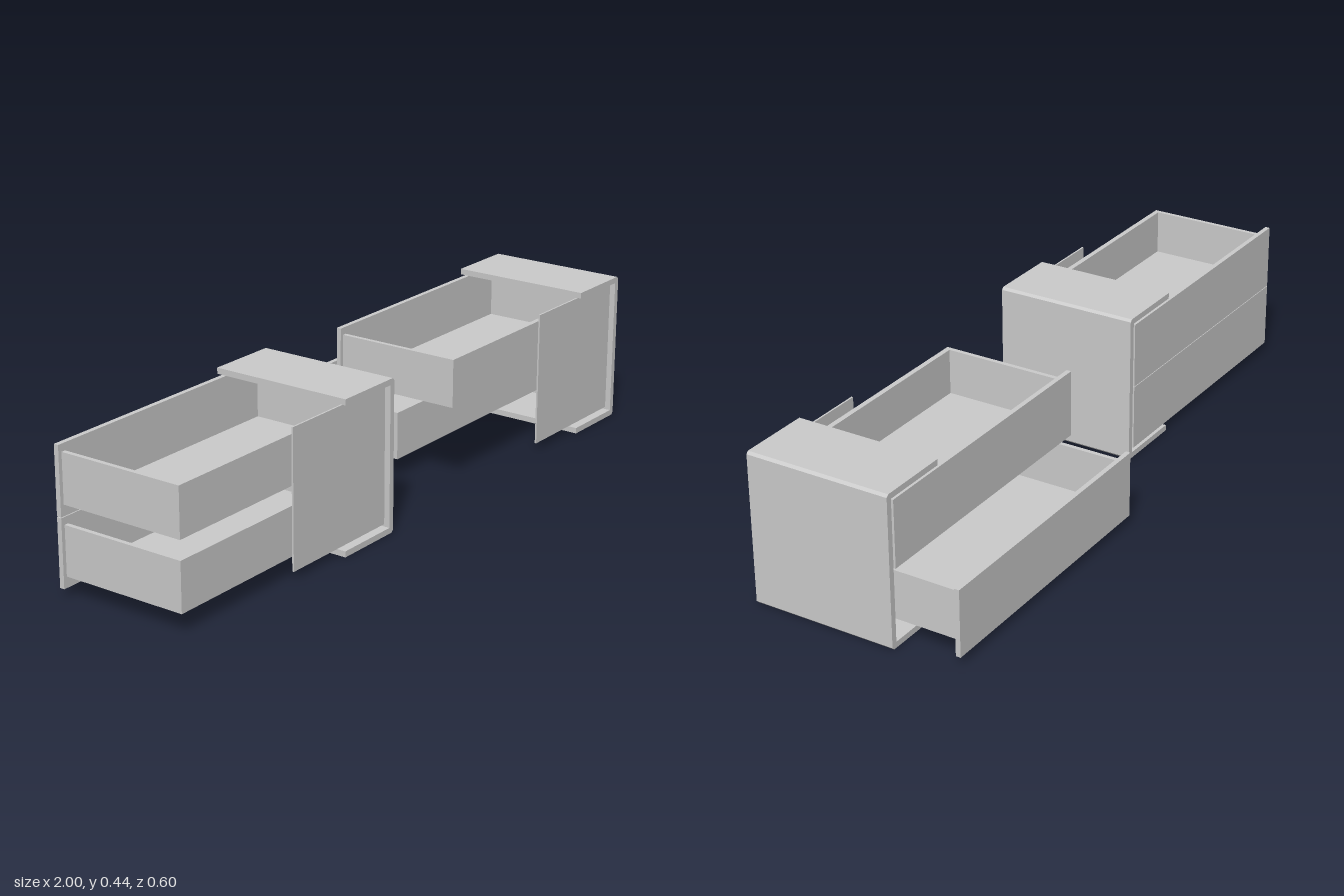
import * as THREE from 'three';

const grey = new THREE.MeshStandardMaterial({ color: 0xcccccc, flatShading: true });

// Box given by its min and max along each axis
function panel(name, [x0, x1], [y0, y1], [z0, z1]) {
  const g = new THREE.BoxGeometry(x1 - x0, y1 - y0, z1 - z0);
  g.translate((x0 + x1) / 2, (y0 + y1) / 2, (z0 + z1) / 2);
  const mesh = new THREE.Mesh(g, grey);
  mesh.name = name;
  return mesh;
}

// Top, side and bottom boards as one C-shaped section with eased outer corners
function carcass() {
  const xIn = 0.784, xOut = 0.998, h = 0.436, t = 0.017, c = 0.007;
  const shape = new THREE.Shape([
    [xIn, 0], [xOut - c, 0], [xOut, c], [xOut, h - c], [xOut - c, h], [xIn, h],
    [xIn, h - t], [xOut - t, h - t], [xOut - t, t], [xIn, t],
  ].map(([x, y]) => new THREE.Vector2(x, y)));
  const g = new THREE.ExtrudeGeometry(shape, { depth: 0.421, bevelEnabled: false });
  g.translate(0, 0, -0.119);
  const mesh = new THREE.Mesh(g, grey);
  mesh.name = 'carcass';
  return mesh;
}

// Open tray with its face board on the -z side
function drawer(name) {
  const x0 = 0.167, x1 = 0.947, z0 = -0.104, z1 = 0.27, t = 0.013;
  const low = 0.058, floor = 0.066, rim = 0.197;
  const group = new THREE.Group();
  group.name = name;
  group.add(
    panel('drawerFace', [0.156, 0.971], [0.027, 0.218], [z0 - 0.014, z0]),
    panel('drawerBottom', [x0, x1], [low, floor], [z0, z1]),
    panel('drawerSideRight', [x0, x0 + t], [floor, rim], [z0, z1]),
    panel('drawerSideLeft', [x1 - t, x1], [floor, rim], [z0, z1]),
    panel('drawerBack', [x0 + t, x1 - t], [floor, rim], [z1 - 0.015, z1]),
  );
  return group;
}

// Cutaway cabinet with two drawers; the lower one can be pulled out
function cabinet(name, pull) {
  const group = new THREE.Group();
  group.name = name;
  const lower = drawer('lowerDrawer');
  lower.position.z = -pull;
  const upper = drawer('upperDrawer');
  upper.position.y = 0.193;
  group.add(
    carcass(),
    panel('backPanel', [0.587, 0.982], [0.024, 0.415], [0.28, 0.285]),
    lower,
    upper,
  );
  return group;
}

export function createModel() {
  const model = new THREE.Group();
  model.name = 'drawerCabinets';
  const closed = cabinet('closedCabinet', 0);
  closed.position.x = -1.155;
  model.add(closed, cabinet('openCabinet', 0.184));
  return model;
}
